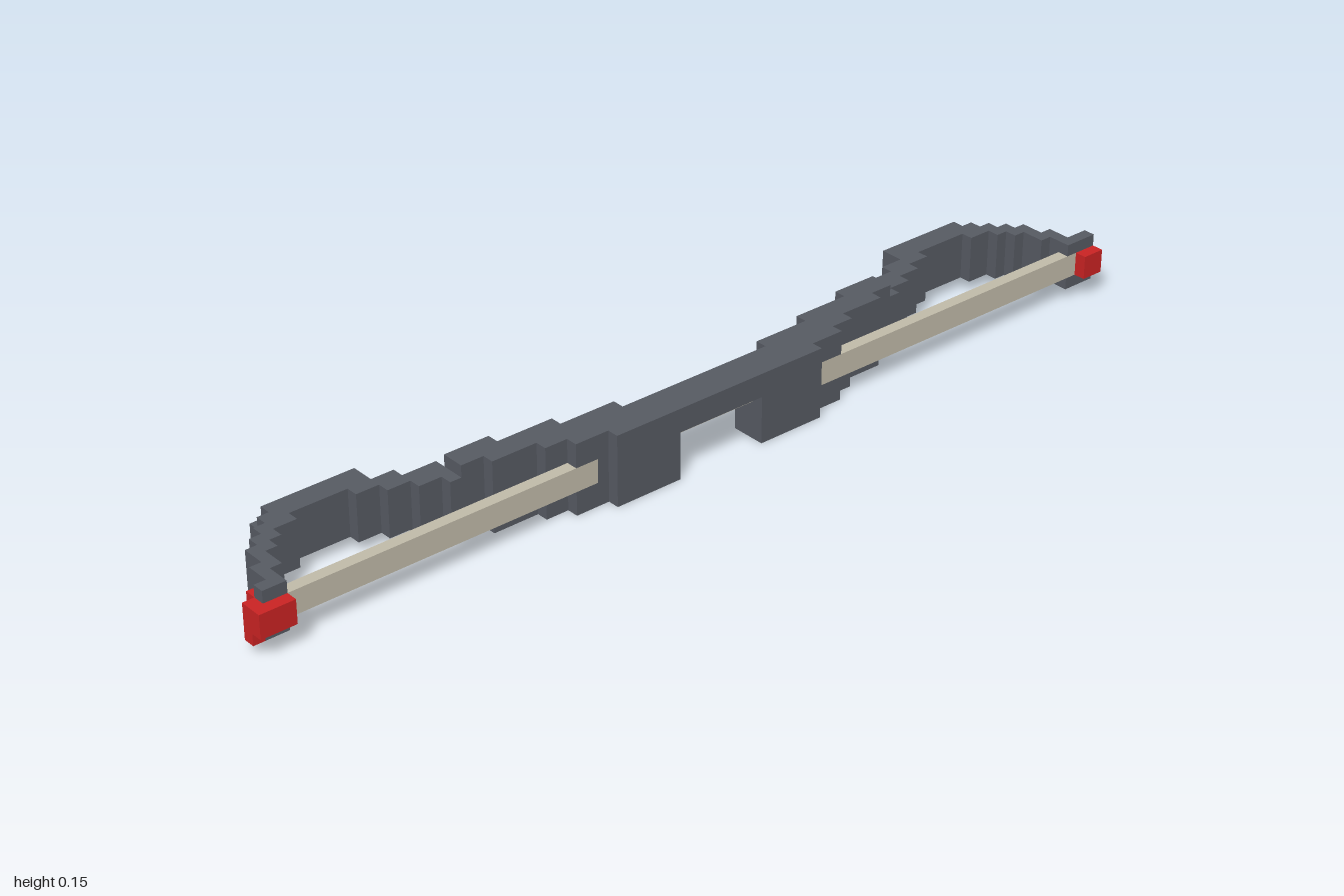
import * as THREE from 'three';

const C = 1 / 41; // edge of one cell

// Limb outline from grip to tip: start, end along z, then inner and outer x, in cells
const RUNS = [
  [4, 7, 8, 11], [7, 10, 7, 11], [10, 11, 7, 10], [11, 12, 7, 10], [12, 13, 6, 10],
  [13, 15, 6, 9], [15, 17, 6, 8], [17, 19, 5, 8], [19, 21, 5, 7], [21, 22, 4, 7],
  [22, 24, 4, 6], [24, 26, 3, 5], [26, 28, 1, 4], [28, 33, 1, 3], [33, 34, 1, 4],
  [34, 35, 2, 4], [35, 36, 3, 5], [36, 37, 4, 6], [37, 38, 5, 8], [38, 39, 7, 9],
];

// Raised ribs on the back of the limb: z start, z end, x start
const RIBS = [[16, 17, 5], [20, 21, 4], [23, 24, 3], [25, 26, 2], [29, 31, 0], [34, 35, 1]];

export function createModel() {
  const dark = new THREE.MeshStandardMaterial({ name: 'dark grey', color: 0x565a62 });
  const red = new THREE.MeshStandardMaterial({ name: 'red', color: 0xc92323 });
  const cream = new THREE.MeshStandardMaterial({ name: 'string cream', color: 0xc0baa8 });

  const model = new THREE.Group();
  model.name = 'bow';

  // Box between cell coordinates; x is counted from the back edge of the bow
  function block(parent, name, mat, x0, x1, y0, y1, z0, z1) {
    const geo = new THREE.BoxGeometry((x1 - x0) * C, (y1 - y0) * C, Math.abs(z1 - z0) * C);
    const mesh = new THREE.Mesh(geo, mat);
    mesh.name = name;
    mesh.position.set(((x0 + x1) / 2 - 5.5) * C, ((y0 + y1) / 2) * C, ((z0 + z1) / 2) * C);
    parent.add(mesh);
  }

  // Bridge of the grip, open underneath
  block(model, 'gripBridge', dark, 8, 11, 4, 6, -4, 4);

  for (const s of [1, -1]) {
    const limb = new THREE.Group();
    limb.name = s > 0 ? 'frontLimb' : 'backLimb';
    model.add(limb);

    // Stepped limb; the middle layers leave room for the string
    for (const [z0, z1, x0, x1] of RUNS) {
      const top = z0 < 21 ? 6 : 5;
      const bottom = z0 < 22 && z0 !== 21 ? 0 : 1;
      const mid = z0 >= 11 ? Math.min(x1, 9) : x1;
      block(limb, 'limbTop', dark, x0, x1, 4, top, s * z0, s * z1);
      block(limb, 'limbMiddle', dark, x0, mid, 2, 4, s * z0, s * z1);
      block(limb, 'limbBottom', dark, x0, x1, bottom, 2, s * z0, s * z1);
    }
    for (const [z0, z1, x] of RIBS) block(limb, 'limbRib', dark, x, x + 1, 2, 4, s * z0, s * z1);
    block(limb, 'limbStud', dark, 4, 5, 0, 1, s * 22.6, s * 23.6);

    // String running from the grip to the tip
    block(model, 'bowString', cream, 9, 10, 2, 4, s * 11, s * (s > 0 ? 38 : 39));
  }

  // Thin string across the grip opening
  block(model, 'gripString', cream, 9, 10, 3.2, 4, -4, 4);

  // Front tip
  block(model, 'frontTip', red, 9, 11, 2, 4, 38, 41);
  block(model, 'frontTipSide', red, 8, 9, 2, 4, 39, 40);
  block(model, 'frontTipHook', red, 9, 10, 1, 2, 40, 41);
  block(model, 'frontTipCap', dark, 9, 10, 4, 5, 38, 40);
  block(model, 'frontTipBase', dark, 9, 10, 1, 2, 38, 40);

  // Back tip
  block(model, 'backTip', red, 8, 11, 2, 4, -41, -39);
  block(model, 'backTipCap', dark, 9, 10, 4, 5, -41, -38);
  block(model, 'backTipBase', dark, 9, 10, 1, 2, -41, -38);

  return model;
}
